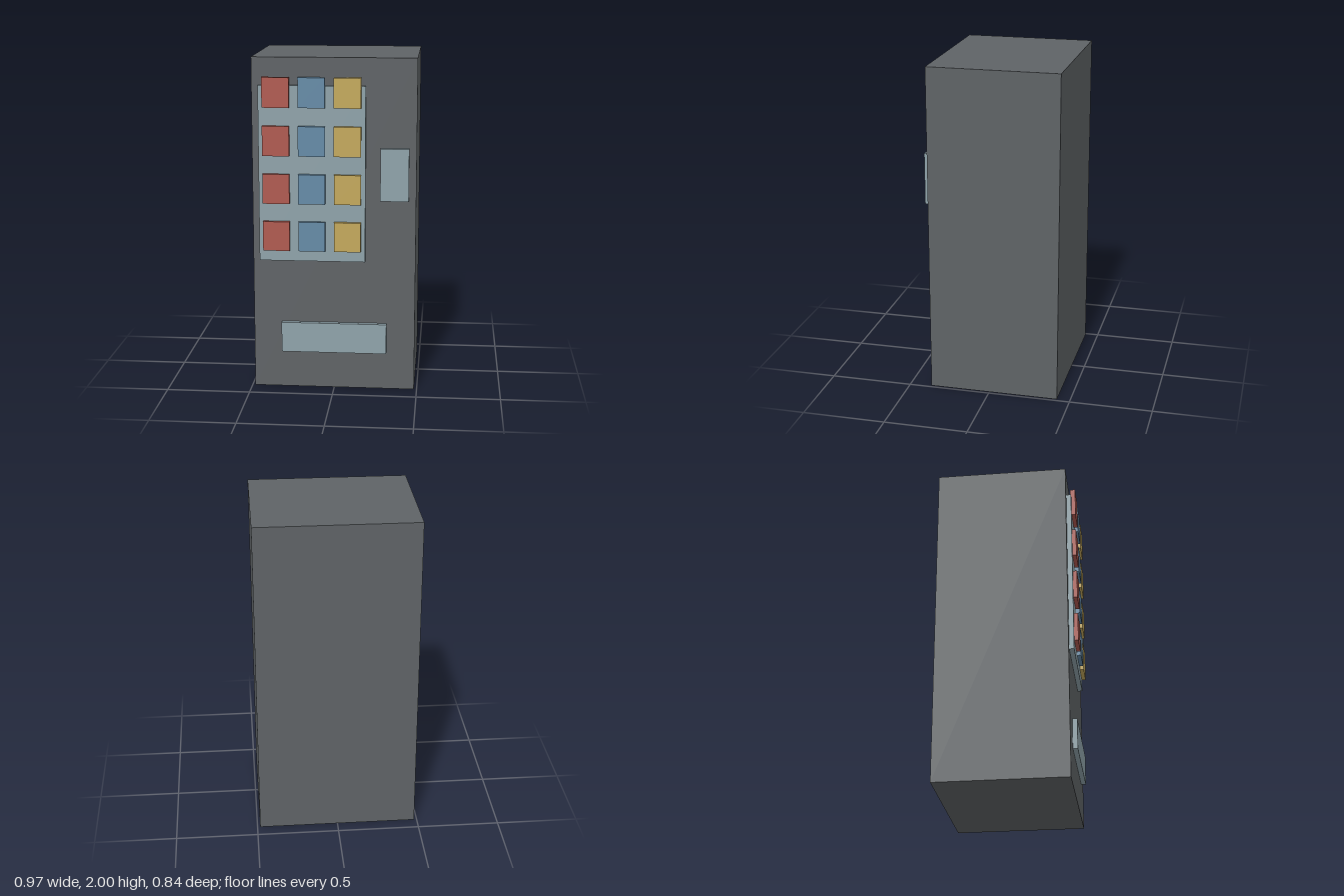
import * as THREE from 'three';

export function createModel() {
  const model = new THREE.Group();
  model.name = 'vendingMachine';

  const material = (name, color) => {
    const m = new THREE.MeshStandardMaterial({ color });
    m.name = name;
    return m;
  };
  const grey = material('cabinet grey', 0x5f6366);
  const glass = material('pale glass', 0x8fa3aa);
  const red = material('product red', 0xb05a50);
  const blue = material('product blue', 0x658ba7);
  const yellow = material('product yellow', 0xc4a95c);

  // Box given by its minimum and maximum on each axis
  const box = (name, mat, [x0, x1], [y0, y1], [z0, z1]) => {
    const mesh = new THREE.Mesh(new THREE.BoxGeometry(x1 - x0, y1 - y0, z1 - z0), mat);
    mesh.position.set((x0 + x1) / 2, (y0 + y1) / 2, (z0 + z1) / 2);
    mesh.name = name;
    return mesh;
  };

  // Cabinet
  model.add(box('cabinet', grey, [-0.483, 0.483], [0, 2], [-0.42, 0.367]));

  // Raised front panels
  const panelZ = [0.36, 0.396];
  model.add(
    box('displayWindow', glass, [-0.442, 0.186], [0.795, 1.838], panelZ),
    box('paymentPanel', glass, [0.273, 0.44], [1.164, 1.475], panelZ),
    box('dispenserFlap', glass, [-0.315, 0.315], [0.228, 0.411], panelZ),
  );

  // Products: one colour per column, four rows
  const products = new THREE.Group();
  products.name = 'products';
  [red, blue, yellow].forEach((mat, col) => {
    const x = -0.338 + col * 0.21;
    for (let row = 0; row < 4; row++) {
      const y = 0.948 + row * 0.2838;
      products.add(box(`product${row + 1}${'ABC'[col]}`, mat,
        [x - 0.079, x + 0.079], [y - 0.088, y + 0.088], [0.388, 0.42]));
    }
  });
  model.add(products);

  return model;
}
